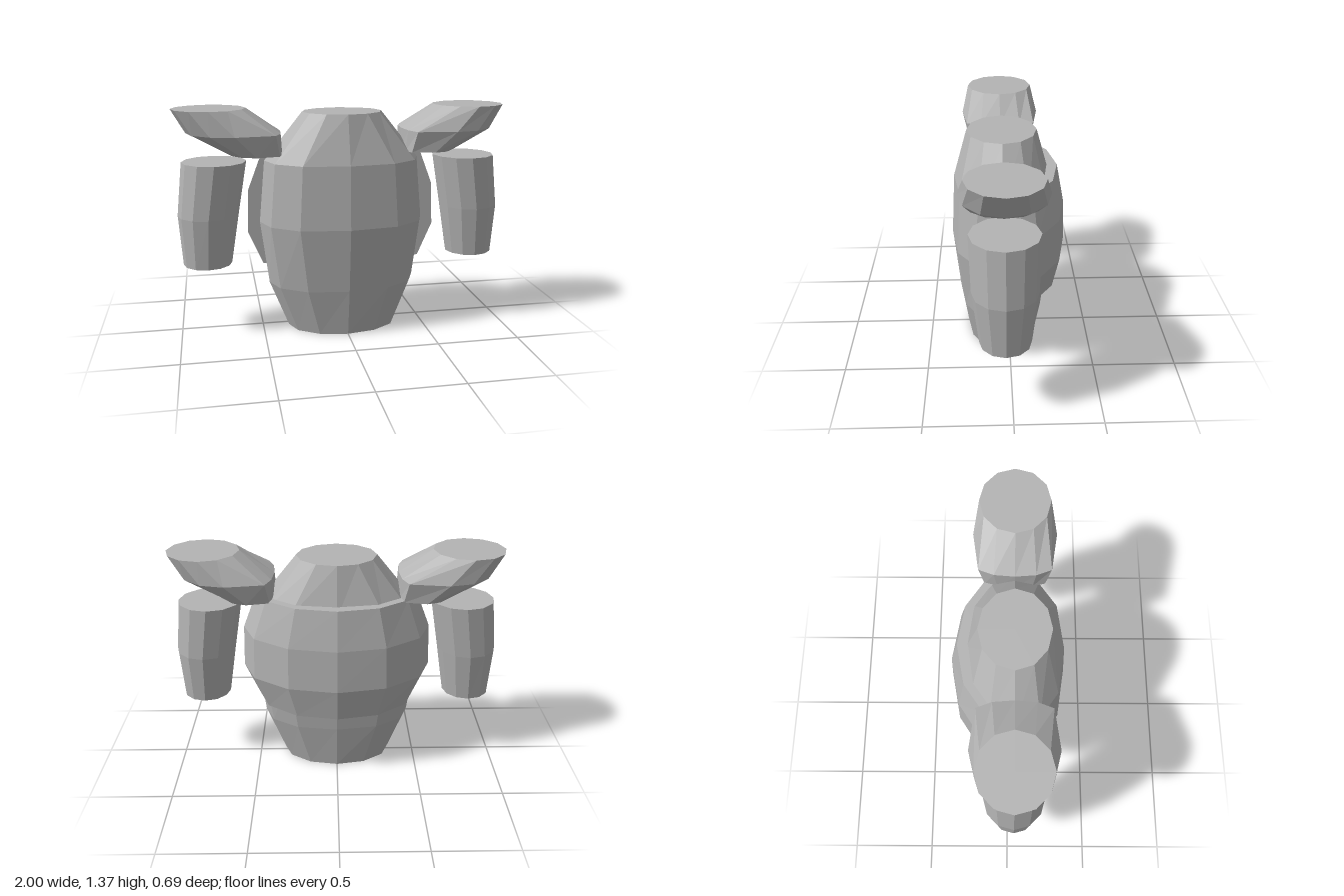
import * as THREE from 'three';

const CENTER_Z = 0.04;
const SIDES = 12;

// One cross-section, clockwise seen from above. Ring: [y, centre x, radius x, radius z, inner power, outer power];
// powers below 1 make that half of the ring squarer.
function section([y, cx, rx, rz, inner = 1, outer = 1], from, to) {
  const points = [];
  for (let i = from; i < to; i++) {
    const a = (i / SIDES) * Math.PI * 2;
    const c = Math.cos(a);
    const x = Math.sign(c) * Math.pow(Math.abs(c), c < 0 ? inner : outer);
    points.push(new THREE.Vector3(cx + rx * x, y, CENTER_Z + rz * Math.sin(a)));
  }
  return points;
}

// Closed loft through rings listed from bottom to top; side = -1 mirrors it in x.
function loft(rings, side = 1, from = 0, to = SIDES) {
  const loops = rings.map((r) => {
    const points = section(r, from, to);
    points.forEach((p) => { p.x *= side; });
    return side < 0 ? points.reverse() : points;
  });
  const position = [];
  const tri = (...corners) => corners.forEach((p) => position.push(p.x, p.y, p.z));
  const n = loops[0].length;
  const middle = (loop) => loop.reduce((s, p) => s.add(p), new THREE.Vector3()).divideScalar(n);
  const first = loops[0], last = loops[loops.length - 1];
  const bottom = middle(first), top = middle(last);
  for (let i = 0; i < n; i++) {
    const j = (i + 1) % n;
    for (let k = 0; k + 1 < loops.length; k++) {
      const lo = loops[k], hi = loops[k + 1];
      tri(lo[i], hi[i], lo[j]);
      tri(lo[j], hi[i], hi[j]);
    }
    tri(bottom, first[i], first[j]);
    tri(top, last[j], last[i]);
  }
  const geometry = new THREE.BufferGeometry();
  geometry.setAttribute('position', new THREE.Float32BufferAttribute(position, 3));
  geometry.computeVertexNormals(); // unshared corners give flat facets
  return geometry;
}

export function createModel() {
  const model = new THREE.Group();
  model.name = 'torsoArmour';
  const grey = new THREE.MeshStandardMaterial({ color: 0xb4b4b4 });
  grey.name = 'grey';
  grey.flatShading = true;

  const add = (name, geometry) => {
    const mesh = new THREE.Mesh(geometry, grey);
    mesh.name = name;
    model.add(mesh);
  };

  // Barrel-shaped torso
  add('torso', loft([
    [0, 0, 0.34, 0.22],
    [0.29, 0, 0.455, 0.265, 0.9, 0.9],
    [0.68, 0, 0.505, 0.305, 0.8, 0.8],
    [1.055, 0, 0.47, 0.285, 0.8, 0.8],
    [1.34, 0, 0.24, 0.205],
  ]));

  // Back plate wrapping round the rear half
  add('backPlate', loft([
    [0.415, 0, 0.49, 0.345],
    [0.62, 0, 0.58, 0.385],
    [0.88, 0, 0.57, 0.375],
    [1.115, 0, 0.48, 0.33],
  ], 1, 6, 13));

  for (const [prefix, side] of [['left', 1], ['right', -1]]) {
    // Shoulder pad leaning outwards
    add(prefix + 'ShoulderPad', loft([
      [1.105, 0.525, 0.16, 0.205, 0.25],
      [1.23, 0.645, 0.275, 0.245, 0.25],
      [1.37, 0.785, 0.215, 0.208],
    ], side));

    // Tapered forearm guard
    add(prefix + 'ArmGuard', loft([
      [0.435, 0.825, 0.145, 0.143],
      [0.74, 0.81, 0.18, 0.18],
      [1.06, 0.765, 0.19, 0.19],
    ], side));
  }

  return model;
}
